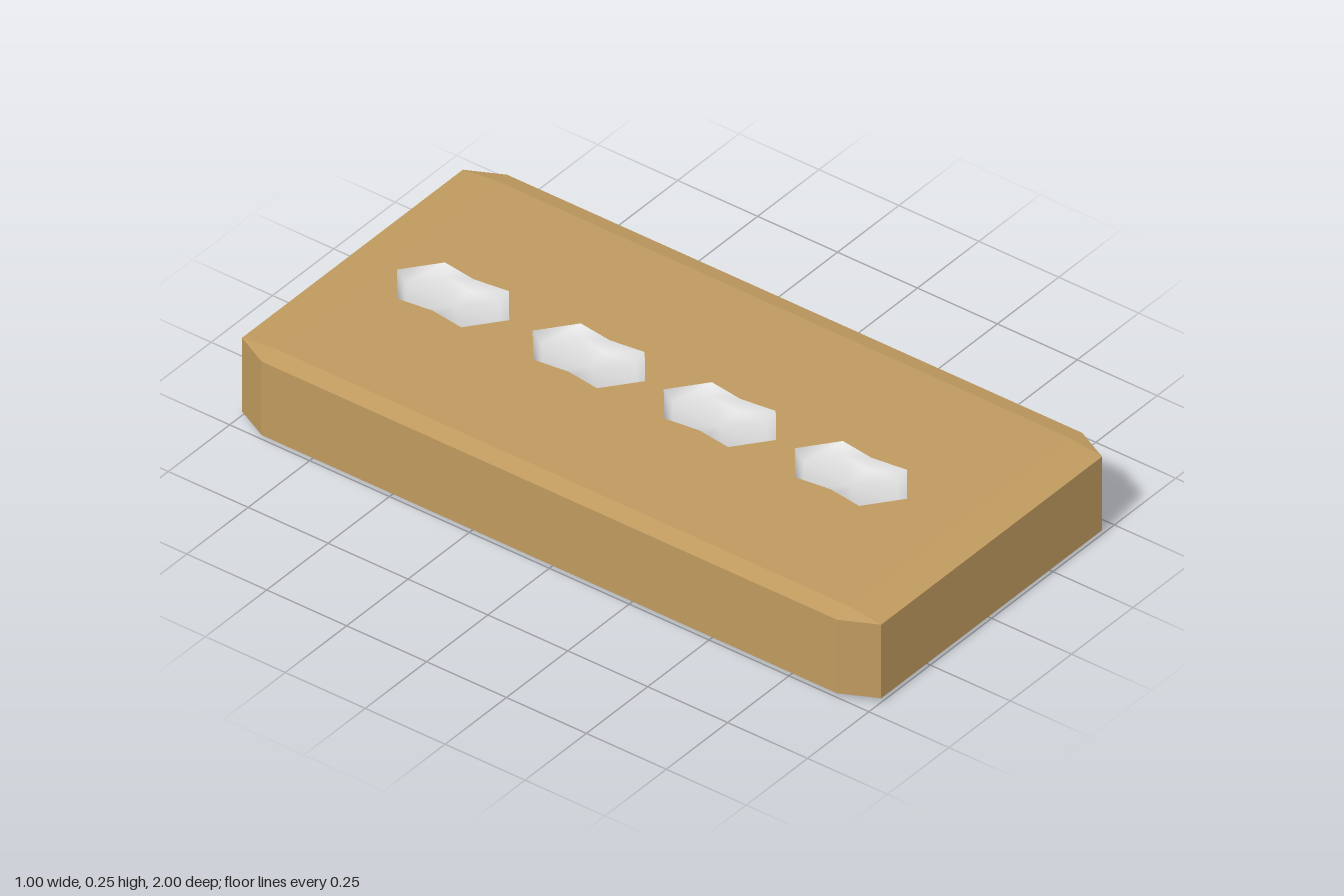
import * as THREE from 'three';
import { ConvexGeometry } from 'three/addons/geometries/ConvexGeometry.js';

// Waisted hexagonal outline of one recess, counter-clockwise from above (x, -z)
const OUTLINE = [
  [0, -0.176], [0.097, -0.1], [0.084, 0], [0.097, 0.1],
  [0, 0.176], [-0.097, 0.1], [-0.084, 0], [-0.097, -0.1],
];
const CENTRES = [-0.685, -0.26, 0.15, 0.56];
const TOP = 0.25;

// Bevelled block with its top face left open
function blockGeometry() {
  const points = [];
  for (const x of [-1, 1]) for (const y of [-1, 1]) for (const z of [-1, 1]) {
    for (const [a, b, c] of [[0.5, 0.1125, 0.9], [0.45, 0.125, 0.9], [0.45, 0.1125, 1]]) {
      points.push(new THREE.Vector3(x * a, 0.125 + y * b, z * c));
    }
  }
  const hull = new ConvexGeometry(points);
  const p = hull.attributes.position;
  const kept = [];
  for (let i = 0; i < p.count; i += 3) {
    if ([0, 1, 2].every((k) => p.getY(i + k) > TOP - 1e-4)) continue;
    for (let k = 0; k < 3; k++) kept.push(p.getX(i + k), p.getY(i + k), p.getZ(i + k));
  }
  const geometry = new THREE.BufferGeometry();
  geometry.setAttribute('position', new THREE.Float32BufferAttribute(kept, 3));
  geometry.computeVertexNormals();
  return geometry;
}

// Flat top face with the four openings
function topGeometry() {
  const shape = new THREE.Shape(
    [[-0.45, -0.9], [0.45, -0.9], [0.45, 0.9], [-0.45, 0.9]].map(([x, y]) => new THREE.Vector2(x, y)));
  for (const z of CENTRES) {
    shape.holes.push(new THREE.Path(OUTLINE.map(([x, y]) => new THREE.Vector2(x, y - z))));
  }
  return new THREE.ShapeGeometry(shape).rotateX(-Math.PI / 2).translate(0, TOP, 0);
}

// Shallow smooth dish: rim, floor edge and centre
function recessGeometry() {
  const n = OUTLINE.length;
  const position = [];
  const index = [];
  for (const [scale, depth] of [[1, 0], [0.84, 0.03]]) {
    for (const [x, y] of OUTLINE) position.push(x * scale, -depth, -y * scale);
  }
  position.push(0, -0.038, 0);
  for (let i = 0; i < n; i++) {
    const j = (i + 1) % n;
    index.push(i, j, n + j, i, n + j, n + i, n + i, n + j, 2 * n);
  }
  const geometry = new THREE.BufferGeometry();
  geometry.setAttribute('position', new THREE.Float32BufferAttribute(position, 3));
  geometry.setIndex(index);
  geometry.computeVertexNormals();
  return geometry;
}

export function createModel() {
  const wood = new THREE.MeshStandardMaterial({ color: 0xbf9a5f });
  wood.name = 'wood';
  const lining = new THREE.MeshStandardMaterial({ color: 0xd8d8d8 });
  lining.name = 'pale grey';

  const group = new THREE.Group();
  group.name = 'board';
  const add = (name, geometry, material) => {
    const mesh = new THREE.Mesh(geometry, material);
    mesh.name = name;
    group.add(mesh);
    return mesh;
  };

  add('block', blockGeometry(), wood);
  add('topFace', topGeometry(), wood);

  const dish = recessGeometry();
  CENTRES.forEach((z, i) => add(`recess${i + 1}`, dish, lining).position.set(0, TOP, z));
  return group;
}
